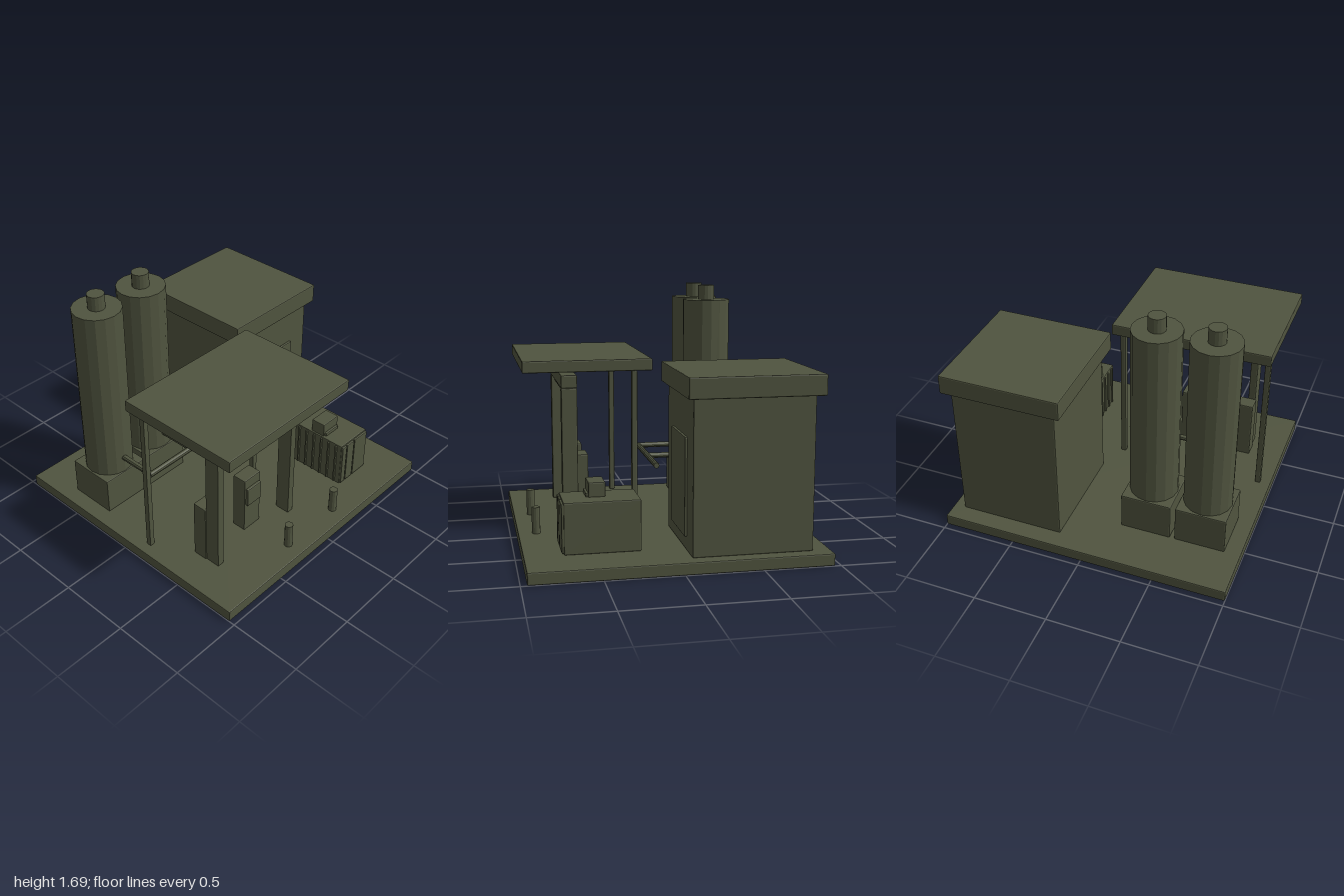
import * as THREE from 'three';
import { RoundedBoxGeometry } from 'three/addons/geometries/RoundedBoxGeometry.js';

export function createModel() {
  const root = new THREE.Group();
  root.name = 'fuelStation';
  const olive = new THREE.MeshStandardMaterial({ color: 0x50543f, flatShading: true });
  olive.name = 'olive';

  const add = (name, geometry) => {
    const mesh = new THREE.Mesh(geometry, olive);
    mesh.name = name;
    root.add(mesh);
    return mesh;
  };

  // Softly bevelled box given by its extents
  const box = (name, x0, x1, y0, y1, z0, z1) => {
    const size = [x1 - x0, y1 - y0, z1 - z0];
    const radius = Math.min(0.008, Math.min(...size) * 0.3);
    add(name, new RoundedBoxGeometry(...size, 1, radius))
      .position.set((x0 + x1) / 2, (y0 + y1) / 2, (z0 + z1) / 2);
  };

  // Upright cylinder between two heights
  const column = (name, x, z, r, y0, y1, sides = 16) => {
    add(name, new THREE.CylinderGeometry(r, r, y1 - y0, sides)).position.set(x, (y0 + y1) / 2, z);
  };

  // Pipe along a straight run
  const pipe = (name, from, to, r) => {
    const a = new THREE.Vector3(...from), b = new THREE.Vector3(...to);
    const dir = b.clone().sub(a);
    const mesh = add(name, new THREE.CylinderGeometry(r, r, dir.length(), 10));
    mesh.position.copy(a).add(b).multiplyScalar(0.5);
    mesh.quaternion.setFromUnitVectors(new THREE.Vector3(0, 1, 0), dir.normalize());
  };

  const G = 0.08; // ground level on top of the slab
  box('slab', -1, 1, 0, G, -0.96, 0.96);

  // Building with overhanging roof and door
  box('building', 0.195, 0.92, G, 1.08, -0.84, -0.06);
  box('buildingRoof', 0.14, 0.97, 1.075, 1.21, -0.89, -0.02);
  box('door', 0.36, 0.76, 0.17, 0.81, -0.07, -0.044);

  // Twin tanks on plinths, each with an outlet pipe
  for (const x of [-0.715, -0.335]) {
    box('tankPlinth', x - 0.175, x + 0.175, G, 0.345, -0.62, -0.275);
    column('tank', x, -0.445, 0.165, 0.34, 1.59);
    column('tankCap', x, -0.445, 0.058, 1.59, 1.69);
    pipe('outletPipe', [x, 0.46, -0.32], [x, 0.46, -0.018], 0.02);
  }
  pipe('mainPipe', [-0.725, 0.46, -0.018], [0, 0.46, -0.018], 0.02);

  // Canopy on two rear posts
  box('canopy', -0.95, 0.16, 1.15, 1.23, 0.04, 0.91);
  for (const x of [-0.91, 0.118]) box('canopyPost', x - 0.02, x + 0.02, G, 1.15, 0.14, 0.18);

  // Portal frame below the canopy
  for (const x of [-0.733, -0.03]) box('portalPost', x - 0.027, x + 0.027, G, 1.02, 0.53, 0.64);
  box('portalBeam', -0.76, 0, 1.02, 1.11, 0.53, 0.64);
  box('portalLamp', -0.7, -0.06, 0.975, 1.02, 0.555, 0.615);

  // Dispensers with front panels
  for (const x of [-0.69, -0.313]) {
    box('dispenser', x - 0.078, x + 0.078, G, 0.51, 0.43, 0.535);
    box('dispenserPanel', x - 0.067, x + 0.067, 0.3, 0.44, 0.525, 0.555);
  }

  // Bollards
  for (const x of [-0.29, 0.187]) column('bollard', x, 0.84, 0.028, G, 0.26, 12);

  // Counter with cladding and a till on top
  box('counter', 0.428, 0.715, G, 0.415, 0.22, 0.71);
  for (const [a, b] of [[0.432, 0.478], [0.484, 0.562], [0.568, 0.71]]) {
    box('frontBoard', a, b, 0.09, 0.405, 0.7, 0.724);
  }
  for (let i = 0; i < 7; i++) {
    const z = 0.27 + i * 0.066;
    box('sideSlat', 0.415, 0.432, 0.09, 0.405, z - 0.007, z + 0.007);
  }
  box('till', 0.44, 0.6, 0.41, 0.51, 0.43, 0.54);
  box('tillTray', 0.452, 0.588, 0.41, 0.44, 0.53, 0.556);

  return root;
}
